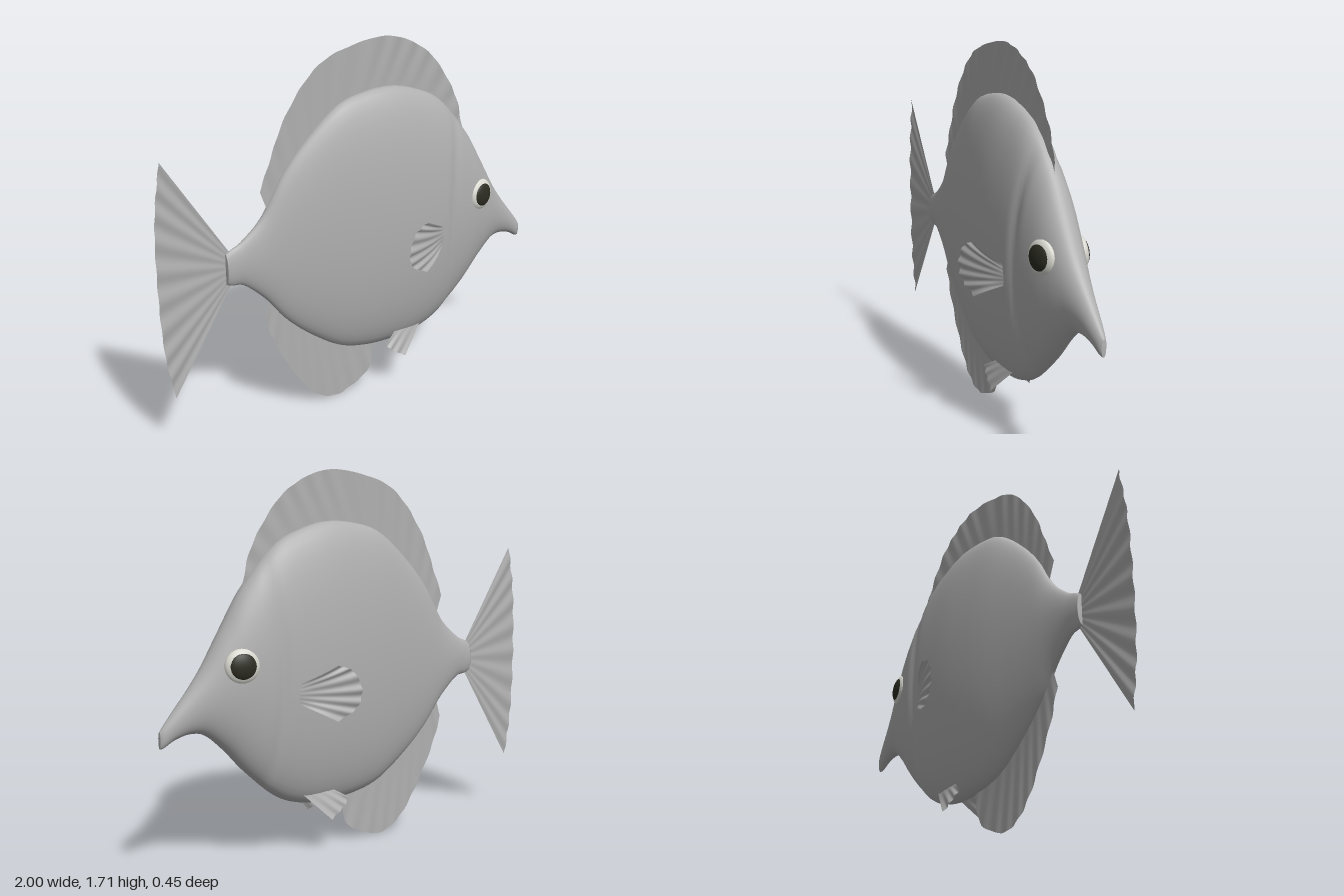
import * as THREE from 'three';

const skin = new THREE.MeshStandardMaterial({ color: 0xb0b0b0, side: THREE.DoubleSide });
skin.name = 'grey skin';
const eyeWhite = new THREE.MeshStandardMaterial({ color: 0xd8d8d0 });
eyeWhite.name = 'eye white';
const pupilDark = new THREE.MeshStandardMaterial({ color: 0x2c2c22 });
pupilDark.name = 'dark pupil';

// Body stations: x, top y, bottom y, half width
const STATIONS = [
  [-0.685, 0.875, 0.735, 0.022], [-0.66, 0.89, 0.725, 0.024], [-0.6, 0.92, 0.71, 0.03],
  [-0.5, 1.01, 0.62, 0.043], [-0.4, 1.17, 0.495, 0.06], [-0.28, 1.305, 0.385, 0.082],
  [-0.12, 1.435, 0.275, 0.11], [0.02, 1.478, 0.232, 0.127], [0.17, 1.487, 0.22, 0.137],
  [0.31, 1.455, 0.23, 0.137], [0.45, 1.385, 0.285, 0.13], [0.6, 1.22, 0.415, 0.113],
  [0.7, 1.06, 0.525, 0.092], [0.79, 0.91, 0.605, 0.066], [0.86, 0.815, 0.622, 0.047],
  [0.93, 0.732, 0.607, 0.032], [0.98, 0.672, 0.58, 0.02], [0.998, 0.648, 0.577, 0.01],
];

const curve = (points) => new THREE.CatmullRomCurve3(
  points.map(([x, y, z = 0]) => new THREE.Vector3(x, y, z)), false, 'catmullrom');

function gridIndex(index, a, b, c, d) {
  index.push(a, c, b, b, c, d);
}

function finish(positions, index) {
  const geometry = new THREE.BufferGeometry();
  geometry.setAttribute('position', new THREE.Float32BufferAttribute(positions, 3));
  geometry.setIndex(index);
  geometry.computeVertexNormals();
  return geometry;
}

// Elliptical rings lofted along x, with a shallow gill groove behind the head
function bodyGeometry() {
  const rings = 136, sides = 48, positions = [], index = [];
  const outline = curve(STATIONS.map(([x, top, bottom]) => [x, top, bottom]));
  const widths = curve(STATIONS.map(([x, , , w]) => [x, w]));
  for (let i = -1; i <= rings + 1; i++) {
    const t = THREE.MathUtils.clamp(i / rings, 0, 1);
    const closed = i < 0 || i > rings ? 0 : 1; // end rings collapse into caps
    const { x, y: top, z: bottom } = outline.getPoint(t);
    const half = widths.getPoint(t).y;
    for (let j = 0; j < sides; j++) {
      const a = j / sides * Math.PI * 2;
      const y = (top + bottom) / 2 + closed * (top - bottom) / 2 * Math.cos(a);
      const groove = 0.47 + 0.2 * (y - 0.82) ** 2;
      const dent = 1 - 0.09 * Math.exp(-(((x - groove) / 0.025) ** 2));
      positions.push(x, y, closed * half * dent * Math.sin(a));
    }
  }
  for (let i = 0; i < rings + 2; i++) {
    for (let j = 0; j < sides; j++) {
      const k = (j + 1) % sides;
      gridIndex(index, i * sides + j, (i + 1) * sides + j, i * sides + k, (i + 1) * sides + k);
    }
  }
  return finish(positions, index);
}

// Thin sheet from a root curve to a rim curve, rippled by fin rays
function finGeometry(root, rim, rays, ripple, bulge = 0) {
  const nu = rays * 8, nv = 8, positions = [], index = [];
  const rootCurve = curve(root), rimCurve = curve(rim);
  for (let i = 0; i <= nu; i++) {
    const u = i / nu;
    const a = rootCurve.getPoint(u), b = rimCurve.getPoint(u);
    for (let j = 0; j <= nv; j++) {
      const v = j / nv;
      const p = a.clone().lerp(b, v);
      p.z += ripple * v * Math.cos(u * rays * Math.PI * 2) + bulge * Math.sin(v * Math.PI);
      positions.push(p.x, p.y, p.z);
      if (i < nu && j < nv) {
        const n = i * (nv + 1) + j;
        gridIndex(index, n, n + nv + 1, n + 1, n + nv + 2);
      }
    }
  }
  return finish(positions, index);
}

export function createModel() {
  const model = new THREE.Group();
  model.name = 'fish';
  const add = (name, geometry, material = skin, parent = model) => {
    const mesh = new THREE.Mesh(geometry, material);
    mesh.name = name;
    parent.add(mesh);
    return mesh;
  };

  add('body', bodyGeometry());

  // Fins on the centre line
  add('dorsalFin', finGeometry(
    [[-0.47, 1.02], [-0.35, 1.18], [-0.2, 1.32], [0, 1.42], [0.2, 1.43], [0.4, 1.36], [0.58, 1.2]],
    [[-0.508, 1.12], [-0.45, 1.26], [-0.39, 1.4], [-0.3, 1.535], [-0.2, 1.63], [-0.08, 1.68],
      [0.1, 1.712], [0.22, 1.698], [0.32, 1.655], [0.41, 1.59], [0.5, 1.475], [0.565, 1.355], [0.6, 1.22]],
    14, 0.003));
  add('analFin', finGeometry(
    [[-0.475, 0.63], [-0.38, 0.52], [-0.25, 0.4], [-0.1, 0.31], [0.1, 0.25]],
    [[-0.508, 0.525], [-0.46, 0.39], [-0.38, 0.235], [-0.3, 0.11], [-0.22, 0.033],
      [-0.13, 0.002], [-0.04, 0.025], [0.06, 0.085], [0.1, 0.22]],
    9, 0.003));
  add('tailFin', finGeometry(
    [[-0.66, 0.875], [-0.66, 0.84], [-0.66, 0.805], [-0.66, 0.77], [-0.66, 0.735]],
    [[-0.955, 1.337], [-0.99, 1.1], [-1, 0.805], [-0.99, 0.5], [-0.955, 0.268]],
    9, 0.004));

  // Paired fins and eyes, mirrored across the body
  const pectoral = finGeometry(
    [[0.4, 0.8, 0.128], [0.405, 0.757, 0.13], [0.4, 0.712, 0.128]],
    [[0.25, 0.877, 0.198], [0.175, 0.845, 0.213], [0.135, 0.76, 0.221], [0.16, 0.68, 0.213], [0.25, 0.63, 0.198]],
    6, 0.005, 0.012);
  const pelvic = finGeometry(
    [[0.175, 0.282, 0.058], [0.25, 0.282, 0.055], [0.33, 0.277, 0.05]],
    [[0.1, 0.237, 0.078], [0.145, 0.198, 0.088], [0.21, 0.155, 0.095]],
    3, 0.004);
  const ball = new THREE.SphereGeometry(1, 32, 20);
  for (const [side, sign] of [['left', 1], ['right', -1]]) {
    const half = new THREE.Group();
    half.name = `${side === 'left' ? 'right' : 'left'}SideParts`;
    half.name = sign > 0 ? 'frontSideParts' : 'backSideParts';
    half.scale.z = sign;
    model.add(half);
    add('pectoralFin', pectoral, skin, half);
    add('pelvicFin', pelvic, skin, half);

    const eye = new THREE.Group();
    eye.name = 'eye';
    eye.position.set(0.656, 0.898, 0.088);
    eye.rotation.set(-0.06, 0.22, 0);
    half.add(eye);
    add('eyeball', ball, eyeWhite, eye).scale.set(0.077, 0.075, 0.03);
    const pupil = add('pupil', ball, pupilDark, eye);
    pupil.scale.set(0.062, 0.06, 0.025);
    pupil.position.z = 0.01;
  }
  return model;
}
